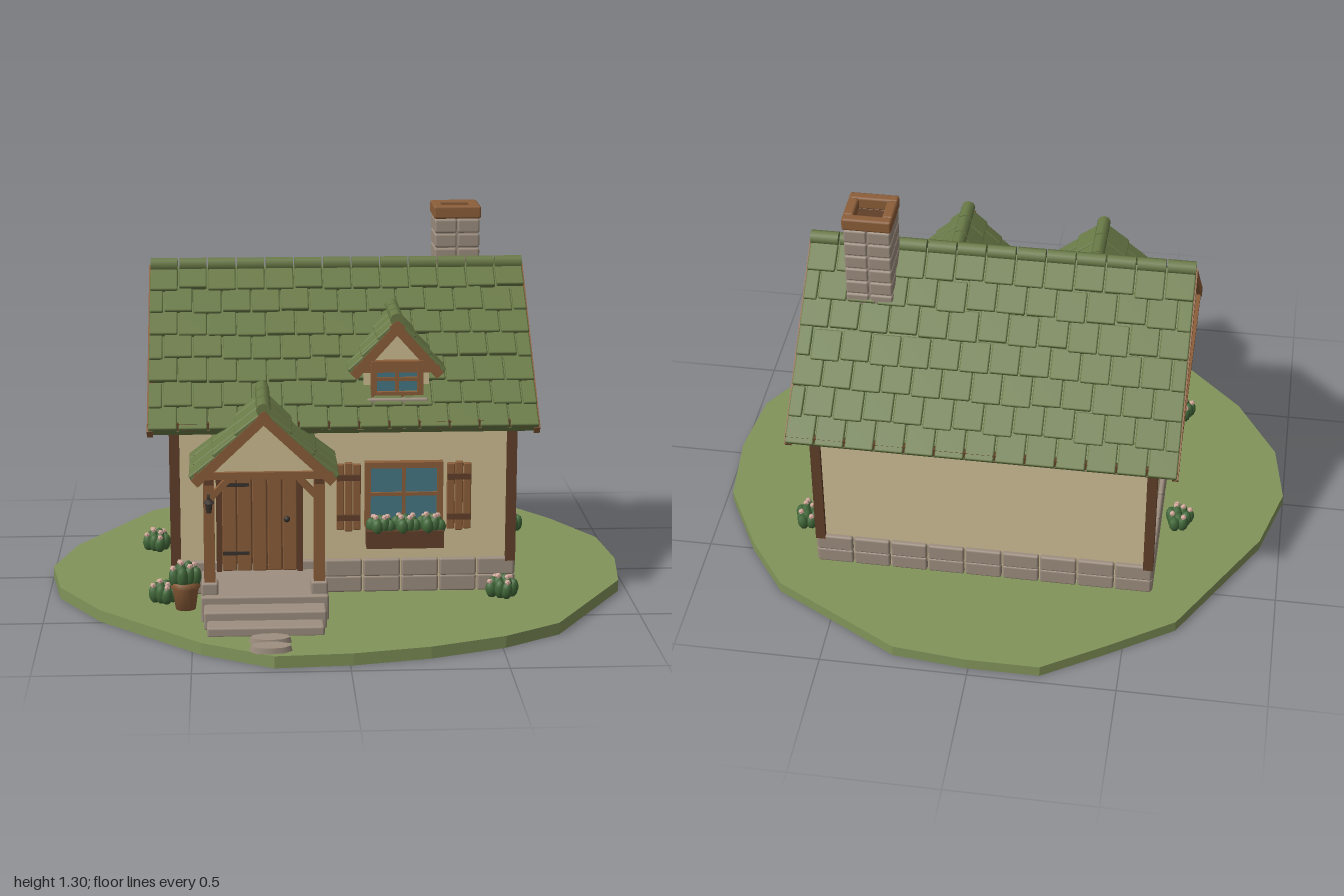
import * as THREE from 'three';
import { RoundedBoxGeometry } from 'three/addons/geometries/RoundedBoxGeometry.js';

const mat = (name, color) => Object.assign(new THREE.MeshStandardMaterial({ color }), { name });
const M = {
  grass: mat('grass', 0x82945a), roof: mat('roofGreen', 0x6a7a47), wall: mat('cream', 0xcfbf95),
  wood: mat('wood', 0x8c5e39), dark: mat('darkWood', 0x613f29), stone: mat('stone', 0x9d8e7f),
  glass: mat('glass', 0x477884), leaf: mat('foliage', 0x42693a), flower: mat('blossom', 0xcfa698),
  iron: mat('iron', 0x3a332d),
};

let seed = 7;
const rnd = () => (seed = (seed * 16807) % 2147483647) / 2147483647;

function add(parent, name, geo, material, x = 0, y = 0, z = 0) {
  const m = new THREE.Mesh(geo, material);
  m.name = name;
  m.position.set(x, y, z);
  parent.add(m);
  return m;
}
const box = (p, name, material, w, h, d, x, y, z) => add(p, name, new THREE.BoxGeometry(w, h, d), material, x, y, z);
const block = (p, name, material, w, h, d, x, y, z, r = 0.008) =>
  add(p, name, new RoundedBoxGeometry(w, h, d, 1, r), material, x, y, z);
function group(parent, name, x = 0, y = 0, z = 0) {
  const g = new THREE.Group();
  g.name = name;
  g.position.set(x, y, z);
  parent.add(g);
  return g;
}

// Tiled gable roof: ridge along local z, eaves at y = 0
function gableRoof(parent, name, half, rise, len, rows, cols, x, y, z) {
  const g = group(parent, name, x, y, z);
  const a = Math.atan2(rise, half), L = Math.hypot(half, rise);
  const tri = new THREE.Shape([[-half + 0.025, 0.006], [half - 0.025, 0.006], [0, rise - 0.02]].map(p => new THREE.Vector2(...p)));
  const prism = new THREE.ExtrudeGeometry(tri, { depth: len - 0.03, bevelEnabled: false });
  add(g, 'gable', prism, M.wall, 0, 0, -len / 2 + 0.015);
  box(g, 'soffit', M.dark, 2 * half - 0.03, 0.012, len - 0.02, 0, 0.004, 0);
  for (const s of [-1, 1]) {
    box(g, 'tieBeam', M.wood, 2 * half - 0.02, 0.024, 0.022, 0, 0.01, s * (len / 2 - 0.012));
    box(g, 'eaveBoard', M.dark, 0.024, 0.026, len - 0.01, s * (half - 0.016), 0.008, 0);
    const side = group(g, 'roofSide', 0, rise, 0);
    side.rotation.y = s < 0 ? Math.PI : 0;
    const slope = group(side, 'slope');
    slope.rotation.z = -a;
    box(slope, 'deck', M.roof, L, 0.02, len - 0.03, L / 2, -0.014, 0);
    for (const e of [-1, 1]) box(slope, 'bargeBoard', M.wood, L + 0.008, 0.032, 0.02, L / 2, -0.016, e * (len / 2 - 0.008));
    // staggered tiles, each row lapping the one below
    const tw = len / cols, th = L / rows;
    for (let r = 0; r < rows; r++) {
      for (let c = 0; c <= cols; c++) {
        const z0 = Math.max(-len / 2, -len / 2 + (c - (r % 2) * 0.5) * tw);
        const z1 = Math.min(len / 2, -len / 2 + (c + 1 - (r % 2) * 0.5) * tw);
        if (z1 - z0 < 0.02) continue;
        const drop = r < rows - 1 ? rnd() * 0.014 : 0;
        const t = block(slope, 'tile', M.roof, th + 0.006, 0.018, z1 - z0 - 0.005, (r + 0.5) * th + drop, 0.001, (z0 + z1) / 2, 0.005);
        t.rotation.z = 0.08 + rnd() * 0.03;
      }
    }
  }
  // ridge caps
  for (let c = 0; c < cols; c++) {
    const cap = add(g, 'ridgeCap', new THREE.CylinderGeometry(0.024, 0.024, len / cols - 0.006, 8), M.roof,
      0, rise + 0.004, -len / 2 + (c + 0.5) * len / cols);
    cap.rotation.x = Math.PI / 2;
  }
  return g;
}

// Four-pane window facing local +z
function windowUnit(parent, name, w, h, x, y, z, sill) {
  const g = group(parent, name, x, y, z), b = 0.02;
  box(g, 'pane', M.glass, w - b, h - b, 0.008, 0, 0, 0.006);
  for (const s of [-1, 1]) {
    box(g, 'frameSide', M.wood, b, h, 0.03, s * (w - b) / 2, 0, 0.012);
    box(g, 'frameRail', M.wood, w, b, 0.03, 0, s * (h - b) / 2, 0.012);
  }
  box(g, 'mullion', M.wood, 0.012, h - b, 0.02, 0, 0, 0.01);
  box(g, 'crossbar', M.wood, w - b, 0.012, 0.02, 0, 0, 0.01);
  if (sill) block(g, 'sill', M.stone, w + 0.03, 0.022, 0.055, 0, -h / 2 - 0.009, 0.02, 0.006);
  return g;
}

// Leafy clump with a few blossoms
function bush(parent, name, x, y, z, w, d, h, n = 9) {
  const g = group(parent, name, x, y, z);
  const leaf = new THREE.IcosahedronGeometry(1, 1), bud = new THREE.IcosahedronGeometry(0.011, 0);
  for (let i = 0; i < n; i++) {
    const t = i * 2.4, r = Math.sqrt((i + 0.5) / n) * 0.75;
    const px = Math.cos(t) * r * w / 2, pz = Math.sin(t) * r * d / 2, ph = h * (1 - 0.35 * r) * (0.85 + rnd() * 0.15);
    const m = add(g, 'leaves', leaf, M.leaf, px, ph / 2, pz);
    m.scale.set(0.02, ph / 2, 0.02);
    m.rotation.set(pz * 4, 0, -px * 4);
    if (i % 2) add(g, 'blossom', bud, M.flower, px * 1.15, ph * 0.97, pz * 1.15);
  }
}

export function createModel() {
  const root = new THREE.Group();
  root.name = 'cottage';

  // Irregular lawn
  const outline = [[-0.24, -0.97], [0.01, -0.97], [0.26, -0.945], [0.7, -0.7], [0.84, -0.51], [0.975, -0.26], [1, 0],
    [0.97, 0.25], [0.7, 0.69], [0.51, 0.81], [0.26, 0.9], [0.01, 0.95], [-0.24, 0.965], [-0.47, 0.83], [-0.81, 0.49],
    [-0.96, 0.24], [-1, 0], [-0.93, -0.25], [-0.67, -0.695], [-0.45, -0.84]];
  const lawn = new THREE.ExtrudeGeometry(new THREE.Shape(outline.map(p => new THREE.Vector2(...p))), { depth: 0.04, bevelEnabled: false });
  add(root, 'lawn', lawn.rotateX(Math.PI / 2), M.grass, 0, 0.04, 0);

  // Walls, corner posts and stone footing
  const cx = 0.01, cz = -0.113;
  box(root, 'walls', M.wall, 1.14, 0.6, 0.88, cx, 0.34, cz);
  for (const sx of [-1, 1]) for (const sz of [-1, 1])
    box(root, 'cornerPost', M.dark, 0.034, 0.49, 0.034, cx + sx * 0.569, 0.39, cz + sz * 0.439);
  const footing = group(root, 'footing', cx, 0, cz);
  for (const [y, h] of [[0.069, 0.058], [0.126, 0.062]]) for (const s of [-1, 1]) {
    for (let i = 0; i < 9; i++) block(footing, 'footingStone', M.stone, 0.126, h, 0.05, (i - 4) * 0.13, y, s * 0.43);
    for (let i = 0; i < 7; i++) block(footing, 'footingStone', M.stone, 0.05, h, 0.126, s * 0.562, y, (i - 3) * 0.129);
  }

  // Main roof
  gableRoof(root, 'mainRoof', 0.53, 0.46, 1.305, 7, 13, 0.008, 0.635, cz).rotation.y = Math.PI / 2;

  // Chimney with hollow cap
  const chimney = group(root, 'chimney', 0.432, 0, -0.197);
  box(chimney, 'chimneyCore', M.stone, 0.145, 0.36, 0.145, 0, 1.06, 0);
  for (let r = 0; r < 7; r++) for (const sx of [-1, 1]) for (const sz of [-1, 1])
    block(chimney, 'chimneyStone', M.stone, 0.078, 0.049, 0.078, sx * 0.04, 0.92 + r * 0.051, sz * 0.04);
  box(chimney, 'flue', M.dark, 0.1, 0.006, 0.1, 0, 1.25, 0);
  for (const s of [-1, 1]) {
    block(chimney, 'chimneyCap', M.wood, 0.166, 0.045, 0.036, 0, 1.275, s * 0.065);
    block(chimney, 'chimneyCap', M.wood, 0.036, 0.045, 0.1, s * 0.065, 1.275, 0);
  }

  // Dormer
  box(root, 'dormerWalls', M.wall, 0.22, 0.14, 0.29, 0.19, 0.745, 0.145);
  gableRoof(root, 'dormerRoof', 0.155, 0.172, 0.28, 3, 3, 0.19, 0.803, 0.175);
  windowUnit(root, 'dormerWindow', 0.175, 0.125, 0.19, 0.78, 0.302, true);

  // Front and side windows
  windowUnit(root, 'frontWindow', 0.265, 0.225, 0.213, 0.388, 0.33, false);
  windowUnit(root, 'sideWindow', 0.27, 0.225, 0.58, 0.39, -0.157, true).rotation.y = Math.PI / 2;
  for (const s of [-1, 1]) {
    const shutter = group(root, 'shutter', 0.213 + s * 0.187, 0.38, 0.345);
    for (const i of [-1, 0, 1]) block(shutter, 'shutterPlank', M.wood, 0.026, 0.23 + (i ? 0 : 0.01), 0.02, i * 0.028, 0, 0, 0.004);
    for (const y of [-0.07, 0.07]) box(shutter, 'shutterBatten', M.dark, 0.08, 0.02, 0.012, 0, y, 0.013);
  }
  box(root, 'planter', M.dark, 0.26, 0.06, 0.075, 0.213, 0.25, 0.39);
  for (const i of [-1, 0, 1]) bush(root, 'planterFlowers', 0.213 + i * 0.085, 0.262, 0.39, 0.1, 0.08, 0.08);

  // Porch: platform, steps, stepping stones
  const px = -0.263;
  block(root, 'porchFloor', M.stone, 0.42, 0.09, 0.3, px, 0.08, 0.475);
  block(root, 'upperStep', M.stone, 0.4, 0.062, 0.15, px, 0.068, 0.63);
  block(root, 'lowerStep', M.stone, 0.38, 0.034, 0.15, px, 0.053, 0.7);
  for (const z of [0.83, 0.91]) {
    const s = add(root, 'steppingStone', new THREE.CylinderGeometry(0.065, 0.07, 0.02, 9), M.stone, -0.25, 0.048, z);
    s.scale.z = 0.52;
  }

  // Porch roof, posts and braces
  gableRoof(root, 'porchRoof', 0.234, 0.222, 0.345, 3, 3, px, 0.523, 0.452);
  for (const s of [-1, 1]) {
    const x = px + s * 0.18;
    block(root, 'postFoot', M.stone, 0.056, 0.045, 0.056, x, 0.143, 0.578);
    box(root, 'porchPost', M.wood, 0.036, 0.37, 0.036, x, 0.345, 0.578);
    const brace = box(root, 'porchBrace', M.wood, 0.02, 0.1, 0.024, x - s * 0.035, 0.48, 0.578);
    brace.rotation.z = s * 0.75;
    box(root, 'porchBeam', M.dark, 0.03, 0.025, 0.27, x, 0.51, 0.465);
  }
  const lantern = group(root, 'lantern', px - 0.18, 0.425, 0.61);
  box(lantern, 'lanternBracket', M.iron, 0.01, 0.01, 0.04, 0, 0.035, -0.005);
  add(lantern, 'lanternBody', new THREE.CylinderGeometry(0.014, 0.01, 0.034, 6), M.iron);
  add(lantern, 'lanternCap', new THREE.ConeGeometry(0.02, 0.02, 6), M.iron, 0, 0.026, 0);

  // Plank door
  const door = group(root, 'door', -0.275, 0.32, 0.335);
  box(door, 'doorBacking', M.dark, 0.285, 0.39, 0.014, 0, 0, 0);
  for (const s of [-1, 1]) box(door, 'doorJamb', M.dark, 0.018, 0.39, 0.034, s * 0.137, 0, 0.008);
  box(door, 'doorLintel', M.dark, 0.285, 0.018, 0.034, 0, 0.188, 0.008);
  for (let i = -2; i <= 2; i++) block(door, 'doorPlank', M.wood, 0.048, 0.375, 0.02, i * 0.051, -0.006, 0.01, 0.004);
  for (const y of [-0.13, 0.11]) box(door, 'hinge', M.iron, 0.09, 0.012, 0.006, -0.08, y, 0.022);
  add(door, 'doorKnob', new THREE.SphereGeometry(0.011, 10, 8), M.iron, 0.092, -0.01, 0.028);

  // Potted plant and garden bushes
  const pot = [[0, 0], [0.034, 0], [0.045, 0.075], [0.05, 0.075], [0.05, 0.095], [0.04, 0.095], [0.038, 0.08], [0, 0.08]];
  add(root, 'plantPot', new THREE.LatheGeometry(pot.map(p => new THREE.Vector2(...p)), 14), M.wood, -0.525, 0.04, 0.48);
  bush(root, 'pottedPlant', -0.525, 0.115, 0.48, 0.11, 0.11, 0.1, 11);
  for (const [x, z, w, d] of [[0.545, 0.395, 0.12, 0.1], [0.665, -0.375, 0.1, 0.11], [-0.64, -0.2, 0.1, 0.11], [-0.6, 0.4, 0.1, 0.09]])
    bush(root, 'gardenBush', x, 0.035, z, w, d, 0.09, 12);

  return root;
}
